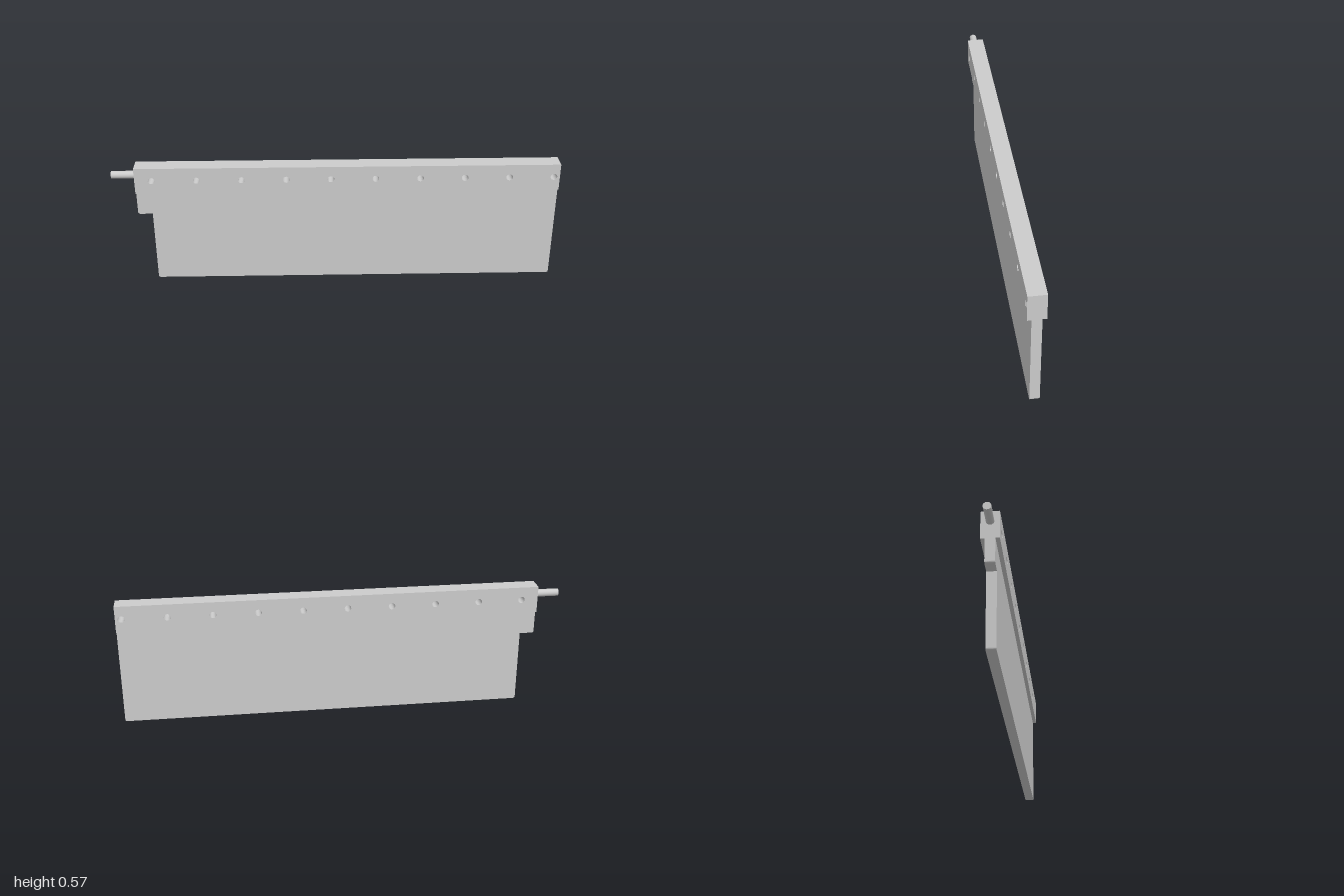
import * as THREE from 'three';

const material = new THREE.MeshStandardMaterial({ color: 0xcccccc });

// Extrudes a shape symmetrically about z = 0
function slab(name, shape, depth) {
  const geometry = new THREE.ExtrudeGeometry(shape, { depth, bevelEnabled: false, curveSegments: 10 });
  geometry.translate(0, 0, -depth / 2);
  const mesh = new THREE.Mesh(geometry, material);
  mesh.name = name;
  return mesh;
}

export function createModel() {
  const group = new THREE.Group();
  group.name = 'railBlade';

  const left = -0.895, right = 0.997, seam = 0.447, top = 0.57;

  // Clamping rail with a row of through holes
  const rail = new THREE.Shape();
  rail.moveTo(left, seam).lineTo(right, seam).lineTo(right, top).lineTo(left, top).closePath();
  const holes = Array.from({ length: 9 }, (_, i) => -0.82 + i * 0.199);
  holes.push(0.97);
  for (const x of holes) {
    rail.holes.push(new THREE.Path().absarc(x, 0.51, 0.015, 0, Math.PI * 2, true));
  }
  group.add(slab('rail', rail, 0.077));

  // Thin blade with a short tab at one end and rounded lower corners
  const r = 0.01, bladeLeft = -0.83, tabBottom = 0.337;
  const blade = new THREE.Shape();
  blade.moveTo(bladeLeft + r, 0).lineTo(right - r, 0);
  blade.quadraticCurveTo(right, 0, right, r);
  blade.lineTo(right, seam).lineTo(left, seam).lineTo(left, tabBottom + r);
  blade.quadraticCurveTo(left, tabBottom, left + r, tabBottom);
  blade.lineTo(bladeLeft, tabBottom).lineTo(bladeLeft, r);
  blade.quadraticCurveTo(bladeLeft, 0, bladeLeft + r, 0);
  group.add(slab('blade', blade, 0.042));

  // Round pin projecting from the rail's end
  const pin = new THREE.Mesh(new THREE.CylinderGeometry(0.017, 0.017, 0.105, 32), material);
  pin.name = 'endPin';
  pin.rotation.z = Math.PI / 2;
  pin.position.set(-0.9475, 0.525, 0);
  group.add(pin);

  return group;
}
